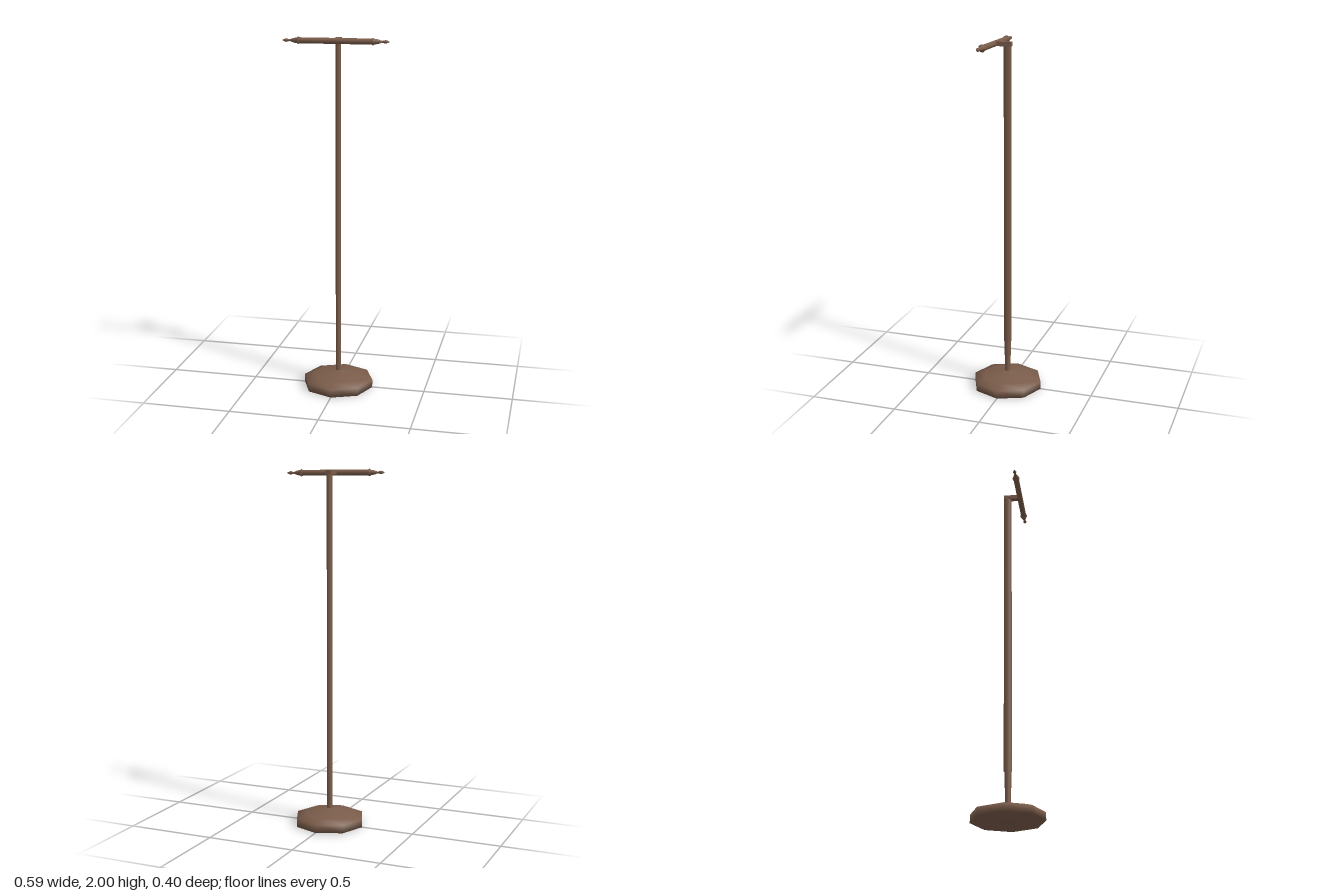
import * as THREE from 'three';

export function createModel() {
  const group = new THREE.Group();
  const wood = new THREE.MeshStandardMaterial({ color: 0x7a5c4a });
  wood.name = 'brown wood';

  const add = (name, geometry, x = 0, y = 0, z = 0) => {
    const mesh = new THREE.Mesh(geometry, wood);
    mesh.name = name;
    mesh.position.set(x, y, z);
    group.add(mesh);
    return mesh;
  };
  const lathe = (points, sides) =>
    new THREE.LatheGeometry(points.map(([r, y]) => new THREE.Vector2(r, y)), sides);

  // Octagonal domed foot, corners on the axes
  add('base', lathe([
    [0, 0], [0.2, 0], [0.2, 0.045], [0.14, 0.065], [0.07, 0.08], [0.02, 0.09], [0, 0.095],
  ], 8));

  // Oval pole: slim neck, short step, long shaft
  const poleSection = (name, bottom, top, width, depth) => {
    const geometry = new THREE.CylinderGeometry(0.5, 0.5, top - bottom, 12);
    geometry.scale(width, 1, depth);
    add(name, geometry, 0, (bottom + top) / 2, 0);
  };
  poleSection('poleNeck', 0.07, 0.19, 0.03, 0.032);
  poleSection('poleStep', 0.185, 0.28, 0.03, 0.038);
  poleSection('poleShaft', 0.275, 1.985, 0.03, 0.045);

  // Arm reaching forward from the pole top to the crossbar
  add('arm', new THREE.BoxGeometry(0.03, 0.024, 0.092), 0, 1.98, 0.024);

  // Crossbar
  const barY = 1.979, barZ = 0.073;
  const bar = new THREE.CylinderGeometry(0.016, 0.016, 0.406, 12);
  bar.rotateZ(Math.PI / 2);
  add('crossbar', bar, 0, barY, barZ);

  // Turned finials: collar, cone and pointed bead
  const finial = lathe([
    [0, 0.198], [0.017, 0.198], [0.021, 0.204], [0.015, 0.211], [0.015, 0.218],
    [0.011, 0.234], [0.005, 0.25], [0.006, 0.256], [0.01, 0.271], [0.005, 0.284], [0, 0.293],
  ], 10);
  for (const side of [1, -1]) {
    const mesh = add(side > 0 ? 'leftFinial' : 'rightFinial', finial, 0, barY, barZ);
    mesh.rotation.z = -side * Math.PI / 2;
  }

  return group;
}
